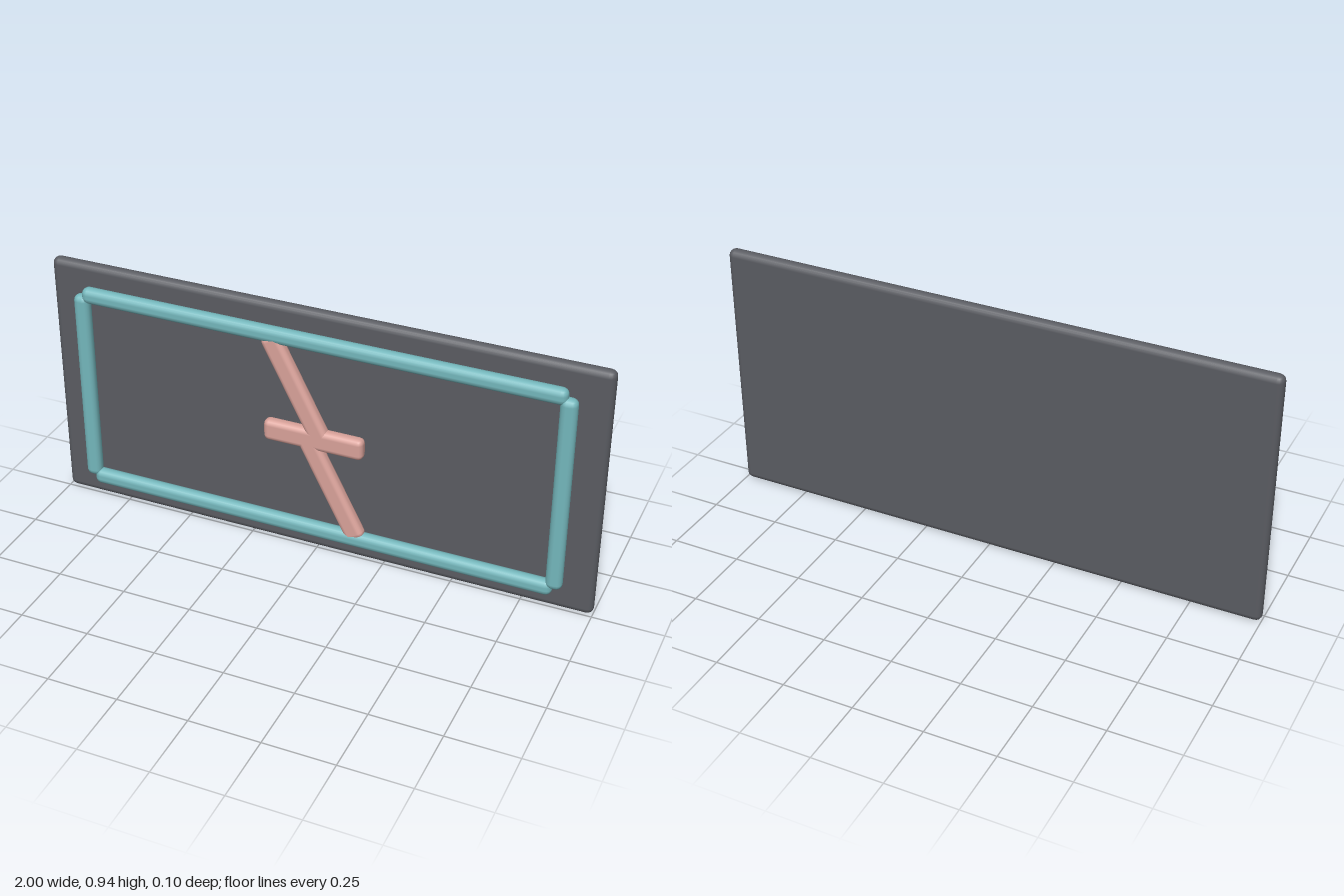
import * as THREE from 'three';
import { RoundedBoxGeometry } from 'three/addons/geometries/RoundedBoxGeometry.js';

const MID_Y = 0.468;

function material(name, color) {
  const m = new THREE.MeshStandardMaterial({ color });
  m.name = name;
  return m;
}

export function createModel() {
  const group = new THREE.Group();
  group.name = 'framedPanel';
  const charcoal = material('charcoal', 0x5a5c62);
  const teal = material('teal', 0x74b7bc);
  const pink = material('pink', 0xd9a29a);

  // Soft-edged bar centred at (x, y, z)
  function bar(name, mat, [w, h, d], [x, y, z], radius) {
    const mesh = new THREE.Mesh(new RoundedBoxGeometry(w, h, d, 2, radius), mat);
    mesh.name = name;
    mesh.position.set(x, y, z);
    group.add(mesh);
    return mesh;
  }

  // Back panel
  bar('backPanel', charcoal, [2, 0.936, 0.048], [0, MID_Y, -0.025], 0.0235);

  // Frame rails and stiles
  for (const s of [1, -1]) {
    bar(s > 0 ? 'topRail' : 'bottomRail', teal,
      [1.73, 0.059, 0.048], [0, MID_Y + s * 0.369, 0.025], 0.0235);
    bar(s > 0 ? 'leftStile' : 'rightStile', teal,
      [0.059, 0.735, 0.048], [s * 0.869, MID_Y, 0.025], 0.0235);
  }

  // Bolt emblem: crossbar with two offset slanted strokes
  bar('emblemCrossbar', pink, [0.365, 0.08, 0.046], [0, MID_Y, 0.024], 0.02);
  for (const s of [1, -1]) {
    const stroke = bar(s > 0 ? 'upperStroke' : 'lowerStroke', pink,
      [0.074, 0.415, 0.046], [-s * 0.066, MID_Y + s * 0.18, 0.024], 0.02);
    stroke.rotation.z = 0.475;
  }
  return group;
}
